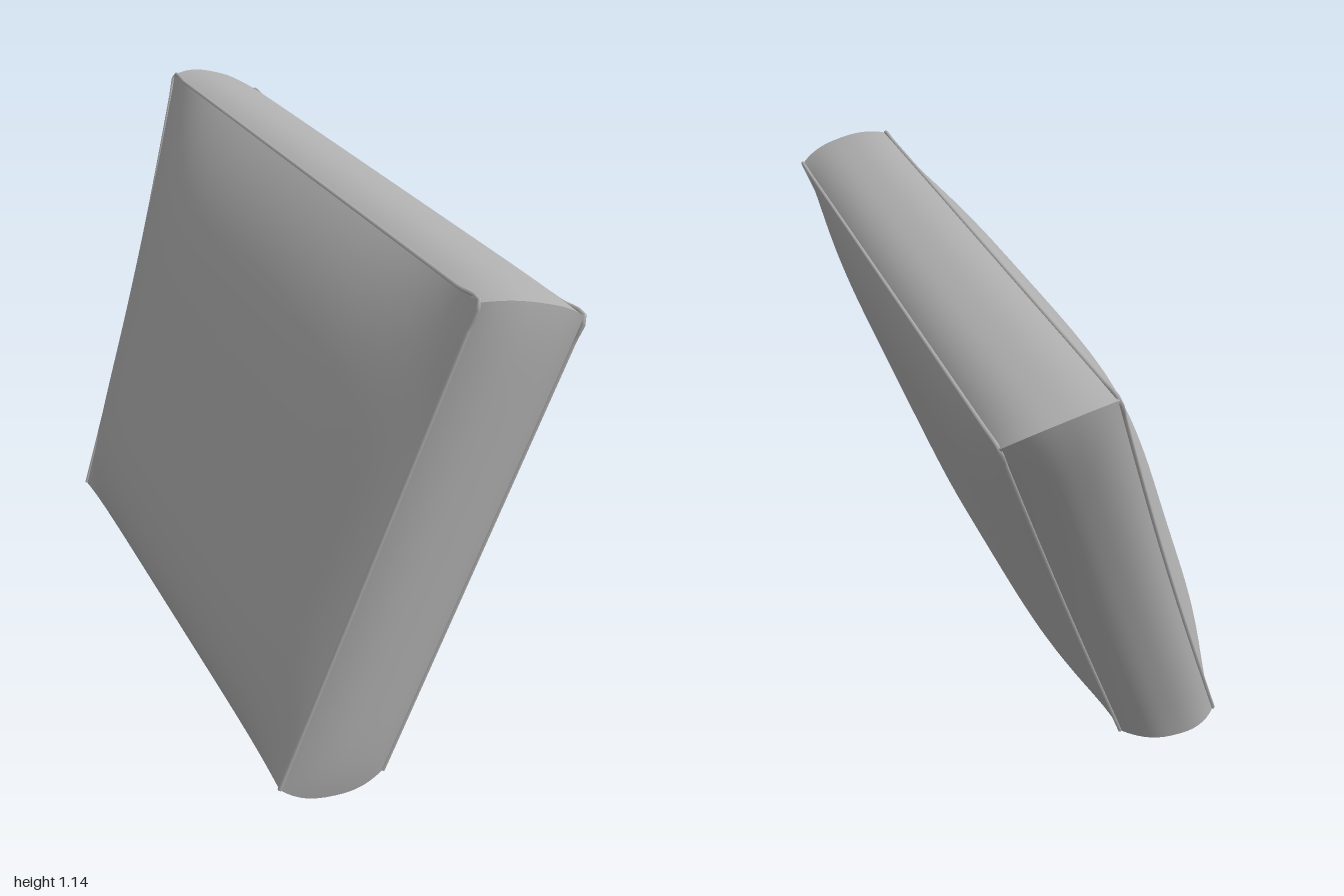
import * as THREE from 'three';
import { ParametricGeometry } from 'three/addons/geometries/ParametricGeometry.js';

// Leaning boxed cushion: two padded panels, a puffed border and thin piping.
// u runs front to back, v bottom to top, s from the right panel to the left one.
const lerp = THREE.MathUtils.lerp;
const plateau = (t, p) => 1 - Math.pow(Math.abs(2 * t - 1), p);
const ramp = (t) => Math.pow(Math.abs(2 * t - 1), 12);

// Point on the cushion's rim, puffed outward between the two seams
function rim(u, v, s, target) {
  const puff = 0.036 * plateau(s, 2.5);
  const wu = ramp(u), wv = ramp(v);
  const back = -0.57 - 0.39 * v + 0.035 * Math.sin(Math.PI * v);
  let x = lerp(-0.33, -0.08, s) + 0.43 * v;
  let y = lerp(0.035 + 1.095 * v, 0.02 + 1.04 * v, s);
  let z = lerp(0.965, back, u);
  // the underside is drawn up slightly between its ends
  y += 0.018 * plateau(u, 6) * Math.pow(1 - v, 8);
  // front and back puff
  z += (u < 0.5 ? 1 - 0.3 * wv : -1.1) * puff * wu;
  // top puff, and the lower corners
  const up = puff * wv * (v > 0.5 ? 1 - 0.3 * wu : -0.7 * wu);
  x += 0.37 * up;
  y += 0.93 * up;
  return target.set(x, y, z);
}

// Padded side panel, swelling along the direction across the cushion
function panel(s, depth, lowPower, highPower) {
  const side = s === 0 ? -1 : 1;
  return new ParametricGeometry((a, v, target) => {
    const u = s === 0 ? 1 - a : a;
    rim(u, v, s, target);
    const swell = side * depth * plateau(u, 4) * plateau(v, v < 0.5 ? lowPower : highPower);
    target.x += 0.93 * swell;
    target.y -= 0.37 * swell;
  }, 48, 48);
}

export function createModel() {
  const group = new THREE.Group();
  group.name = 'cushion';
  const fabric = new THREE.MeshStandardMaterial({ color: 0xb0b0b0 });
  fabric.name = 'grey fabric';

  const add = (name, geometry) => {
    const mesh = new THREE.Mesh(geometry, fabric);
    mesh.name = name;
    group.add(mesh);
  };

  add('rightPanel', panel(0, 0.115, 5.5, 3.2));
  add('leftPanel', panel(1, 0.06, 9, 5.5));

  // Border strips around the rim, each following one edge
  const edges = {
    frontBorder: (t) => [0, t],
    topBorder: (t) => [t, 1],
    backBorder: (t) => [1, 1 - t],
    bottomBorder: (t) => [1 - t, 0],
  };
  for (const [name, edge] of Object.entries(edges)) {
    add(name, new ParametricGeometry((s, t, target) => {
      const [u, v] = edge(t);
      rim(u, v, s, target);
    }, 16, 48));
  }

  // Piping along the front, top and back seams of each panel
  for (const s of [0, 1]) {
    const points = [];
    for (const name of ['frontBorder', 'topBorder', 'backBorder']) {
      for (let i = points.length ? 1 : 0; i <= 20; i++) {
        const [u, v] = edges[name](i / 20);
        points.push(rim(u, v, s, new THREE.Vector3()));
      }
    }
    const path = new THREE.CatmullRomCurve3(points);
    add(s === 0 ? 'rightPiping' : 'leftPiping', new THREE.TubeGeometry(path, 180, 0.005, 6));
  }
  return group;
}
